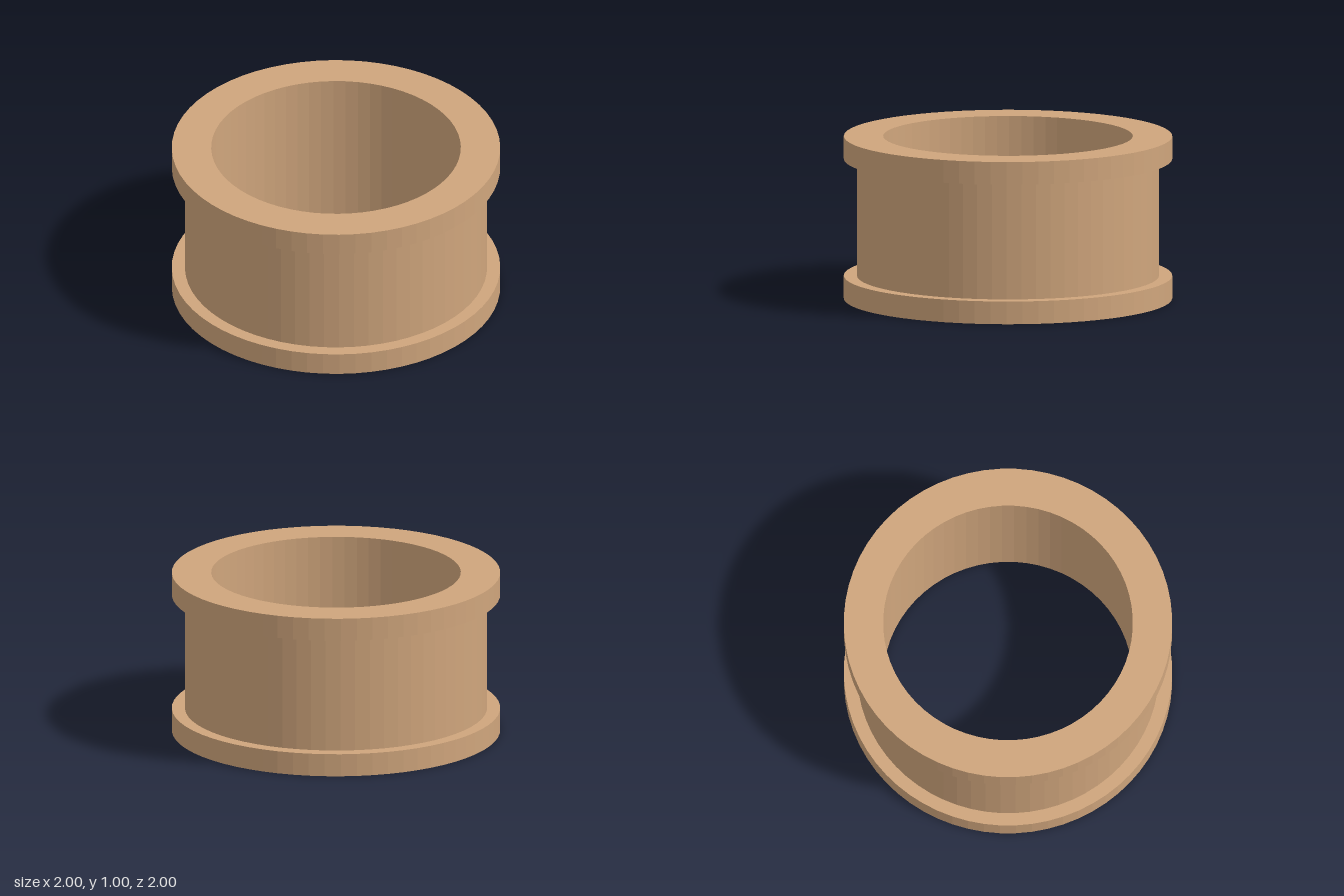
import * as THREE from 'three';

export function createModel() {
  const group = new THREE.Group();
  group.name = 'flangedRing';

  const bore = 0.76, body = 0.92, rim = 1;
  const height = 1, flange = 0.14;

  // Closed cross-section, counterclockwise from the bottom of the bore
  const profile = [
    [bore, 0], [rim, 0], [rim, flange], [body, flange],
    [body, height - flange], [rim, height - flange],
    [rim, height], [bore, height], [bore, 0],
  ].map(([r, y]) => new THREE.Vector2(r, y));

  // Sleeve with a flange at each end
  const ring = new THREE.Mesh(
    new THREE.LatheGeometry(profile, 64),
    new THREE.MeshStandardMaterial({ color: 0xcfa57c, flatShading: true })
  );
  ring.name = 'flangedSleeve';
  group.add(ring);

  return group;
}
